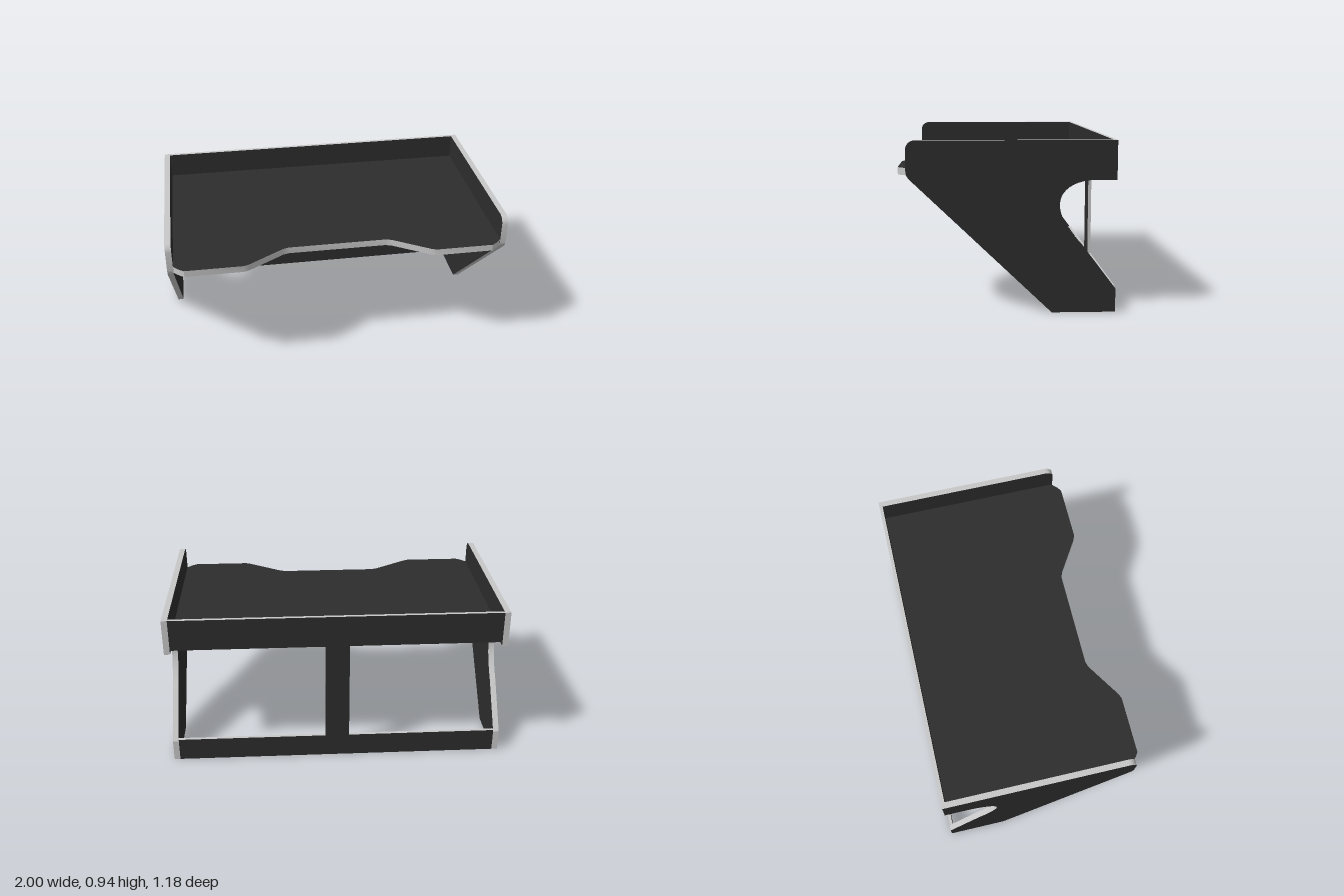
import * as THREE from 'three';
import { toCreasedNormals } from 'three/addons/utils/BufferGeometryUtils.js';

const board = new THREE.MeshStandardMaterial({ color: 0x2d2d2d });
board.name = 'dark board face';
const edge = new THREE.MeshStandardMaterial({ color: 0xc8c8c8 });
edge.name = 'light board edge';

const BACK = -0.593, HEIGHT = 0.945, INNER = 0.965;
const WALL = 0.02, TOP = 0.795, BOTTOM = 0.755;

// Board cut from a flat outline: dark faces, light cut edges
function cutBoard(name, shape, depth, orient) {
  const raw = new THREE.ExtrudeGeometry(shape, { depth, bevelEnabled: false, curveSegments: 20 });
  orient(raw);
  const mesh = new THREE.Mesh(toCreasedNormals(raw, 0.4), [board, edge]);
  mesh.name = name;
  return mesh;
}

// Side outline in (z, y)
function sideShape() {
  const s = new THREE.Shape();
  s.moveTo(BACK, 0);
  s.lineTo(-0.243, 0);
  s.lineTo(0.525, 0.735);
  s.quadraticCurveTo(0.545, 0.755, 0.545, 0.78);
  s.lineTo(0.545, HEIGHT - 0.05);
  s.absarc(0.495, HEIGHT - 0.05, 0.05, 0, Math.PI / 2, false);
  s.lineTo(BACK, HEIGHT);
  s.lineTo(BACK, 0.73);
  s.lineTo(-0.48, 0.73);
  s.bezierCurveTo(-0.36, 0.73, -0.283, 0.675, -0.283, 0.595); // leg cut-out
  s.bezierCurveTo(-0.283, 0.53, -0.335, 0.45, -0.4, 0.385);
  s.lineTo(BACK, 0.13);
  s.closePath();
  return s;
}

// Desktop outline in (x, z), with a recess in the front edge
function desktopShape() {
  const half = [[INNER, 0.54], [0.93, 0.575], [0.905, 0.592], [0.565, 0.592],
    [0.535, 0.58], [0.325, 0.448], [0.29, 0.438]];
  const mirrored = half.map(([x, z]) => [-x, z]).reverse();
  const back = BACK + WALL;
  return new THREE.Shape([[-INNER, back], [INNER, back], ...half, ...mirrored]
    .map(([x, z]) => new THREE.Vector2(x, z)));
}

// Back frame outline in (x, y): two rails and a centre post
function backShape() {
  const post = 0.072, rail = 0.14;
  const half = [[INNER, 0], [INNER, rail], [post, rail], [post, BOTTOM], [INNER, BOTTOM], [INNER, HEIGHT]];
  const mirrored = half.map(([x, y]) => [-x, y]).reverse();
  return new THREE.Shape([...half, ...mirrored].map(([x, y]) => new THREE.Vector2(x, y)));
}

export function createModel() {
  const desk = new THREE.Group();
  desk.name = 'desk';

  // Side panels
  for (const [name, outer] of [['leftSidePanel', 1], ['rightSidePanel', -INNER]]) {
    desk.add(cutBoard(name, sideShape(), 1 - INNER, (g) => g.rotateY(-Math.PI / 2).translate(outer, 0, 0)));
  }
  // Desktop
  desk.add(cutBoard('desktop', desktopShape(), TOP - BOTTOM, (g) => g.rotateX(Math.PI / 2).translate(0, TOP, 0)));
  // Back frame
  desk.add(cutBoard('backFrame', backShape(), WALL, (g) => g.translate(0, 0, BACK)));
  return desk;
}
